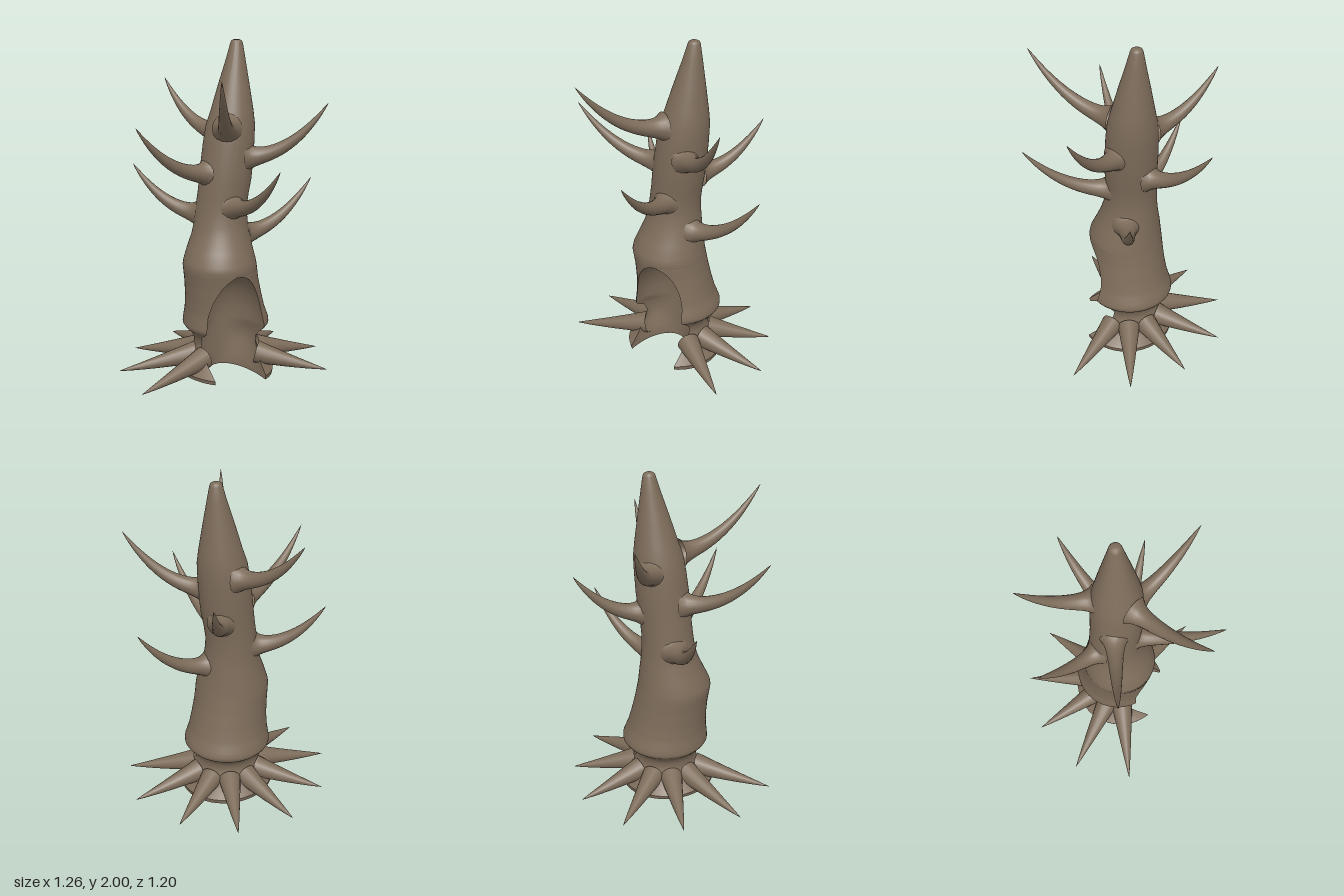
import * as THREE from 'three';
import { mergeVertices, toCreasedNormals } from 'three/addons/utils/BufferGeometryUtils.js';

const bark = new THREE.MeshStandardMaterial({ color: 0x7d6c5a, side: THREE.DoubleSide });

// Trunk sections: height, centre x, centre z, radius
const SECTIONS = [
  [0.02, -0.01, 0.01, 0.285], [0.045, -0.01, 0.01, 0.29], [0.09, -0.01, 0, 0.245],
  [0.14, -0.01, 0, 0.21], [0.19, -0.01, 0, 0.19], [0.23, -0.01, 0, 0.187],
  [0.27, -0.005, -0.005, 0.208], [0.31, 0, -0.01, 0.25], [0.325, 0, -0.01, 0.26],
  [0.345, 0, -0.01, 0.259], [0.42, -0.01, -0.005, 0.24], [0.5, -0.02, 0, 0.229],
  [0.6, -0.035, 0.005, 0.221], [0.7, -0.05, 0.013, 0.219], [0.73, -0.05, 0.012, 0.214],
  [0.8, -0.043, 0, 0.194], [0.88, -0.033, -0.01, 0.171], [0.95, -0.028, -0.016, 0.158],
  [1.03, -0.025, -0.02, 0.151], [1.12, -0.012, -0.018, 0.15], [1.2, 0, -0.016, 0.153],
  [1.3, 0.012, -0.018, 0.153], [1.42, 0.025, -0.02, 0.149], [1.52, 0.037, -0.022, 0.142],
  [1.6, 0.048, -0.024, 0.124], [1.75, 0.062, -0.03, 0.09], [1.9, 0.077, -0.036, 0.054],
  [1.98, 0.083, -0.039, 0.036], [1.993, 0.083, -0.039, 0.031], [2, 0.083, -0.039, 0.02],
  [2, 0.083, -0.039, 0],
];
const HOLLOW_TOP = 0.67, HOLLOW_MID = 0.3;

function sectionAt(y) {
  const i = Math.max(1, SECTIONS.findIndex(s => s[0] >= y));
  const a = SECTIONS[i - 1], b = SECTIONS[i], t = (y - a[0]) / (b[0] - a[0]);
  return a.map((v, k) => v + (b[k] - v) * t);
}

// Closed loop: round the back from one door edge to the other, then through the hollow
const OUTER = 56, INNER = 28, LOOP = OUTER + INNER;
function trunkLoop([y, cx, cz, r]) {
  const k = (y - HOLLOW_MID) / (HOLLOW_TOP - HOLLOW_MID);
  const open = k >= 1 ? 0 : k > 0 ? Math.sqrt(1 - k * k) : 1;
  const half = open * (0.177 - 0.06 * Math.max(0, HOLLOW_MID - y));
  const edge = side => open === 0 ? 0
    : Math.asin(THREE.MathUtils.clamp((-0.022 + side * half - cx) / r, -0.95, 0.95));
  const right = edge(1), left = edge(-1);
  const at = a => [cx + r * Math.sin(a), cz + r * Math.cos(a)];
  const [xl, zl] = at(left), [xr, zr] = at(right);
  const points = [];
  for (let j = 0; j < LOOP; j++) {
    let x, z;
    if (j < OUTER) {
      [x, z] = at(right + (2 * Math.PI + left - right) * j / OUTER);
    } else {
      const t = Math.PI * (j - OUTER) / INNER, u = (1 - Math.cos(t)) / 2;
      const rim = zl + (zr - zl) * u;
      x = xl + (xr - xl) * u;
      z = rim + (-0.06 - rim) * Math.sin(t) * open;
    }
    // The foot is tilted a little
    points.push([x, y - 0.07 * x * Math.max(0, 1 - y / 0.2), z]);
  }
  return points;
}

function trunkGeometry() {
  const rows = SECTIONS.slice();
  for (let i = 0; i <= 16; i++) {
    const y = HOLLOW_MID + (HOLLOW_TOP - HOLLOW_MID) * Math.sin(i / 16 * Math.PI / 2);
    if (!SECTIONS.some(s => Math.abs(s[0] - y) < 0.002)) rows.push(sectionAt(y));
  }
  rows.sort((a, b) => a[0] - b[0]);
  const loops = rows.map(trunkLoop);
  const index = [];
  for (let i = 0; i < rows.length - 1; i++) {
    const solid = rows[i][0] >= HOLLOW_TOP - 1e-6;
    for (let j = 0; j < (solid ? OUTER : LOOP); j++) {
      const a = i * LOOP + j, b = i * LOOP + (j + 1) % LOOP;
      index.push(a, b, b + LOOP, a, b + LOOP, a + LOOP);
    }
  }
  // Crescent-shaped underside
  const foot = loops[0].map(p => new THREE.Vector2(p[0], -p[2]));
  for (const [a, b, c] of THREE.ShapeUtils.triangulateShape(foot, [])) index.push(a, c, b);
  const geometry = new THREE.BufferGeometry();
  geometry.setAttribute('position', new THREE.Float32BufferAttribute(loops.flat(2), 3));
  geometry.setIndex(index);
  return toCreasedNormals(geometry, 0.7);
}

// Tapering, curved spike swept from start through bend to tip
function spike(start, bend, tip, radiusAt) {
  const path = new THREE.QuadraticBezierCurve3(start, bend, tip);
  const steps = 28, sides = 16;
  const geometry = new THREE.TubeGeometry(path, steps, 1, sides);
  const pos = geometry.attributes.position, v = new THREE.Vector3();
  for (let i = 0; i < pos.count; i++) {
    const t = Math.floor(i / (sides + 1)) / steps, centre = path.getPointAt(t);
    v.fromBufferAttribute(pos, i).sub(centre).multiplyScalar(radiusAt(t)).add(centre);
    pos.setXYZ(i, v.x, v.y, v.z);
  }
  geometry.deleteAttribute('uv');
  geometry.deleteAttribute('normal');
  const merged = mergeVertices(geometry, 1e-5);
  merged.computeVertexNormals();
  return merged;
}

// Branches: start on the trunk, then tip
const BRANCHES = [
  [-0.035, 1.515, 0.085, -0.285, 1.845, 0.545],
  [0.0, 1.46, -0.14, -0.17, 1.75, -0.52],
  [-0.12, 1.25, 0.0, -0.6, 1.565, 0.13],
  [0.1, 1.34, 0.07, 0.47, 1.665, 0.345],
  [-0.01, 1.06, 0.1, 0.03, 1.36, 0.6],
  [-0.13, 0.99, -0.1, -0.445, 1.27, -0.36],
  [0.09, 1.19, -0.11, 0.325, 1.465, -0.43],
  [0.11, 0.865, 0.015, 0.555, 1.17, 0.03],
];

// Root tips on the ground: x, z
const ROOTS = [
  [-0.11, -0.6], [0.24, -0.55], [0.5, -0.31], [-0.43, -0.44],
  [-0.64, -0.15], [-0.63, 0.21], [0.62, 0.03], [0.5, 0.365],
];

export function createModel() {
  const model = new THREE.Group();
  model.name = 'hollowTree';
  const add = (geometry, name, parent) => {
    const mesh = new THREE.Mesh(geometry, bark);
    mesh.name = name;
    parent.add(mesh);
  };
  add(trunkGeometry(), 'hollowTrunk', model);

  const branches = new THREE.Group();
  branches.name = 'branches';
  BRANCHES.forEach(([x, y, z, tx, ty, tz], i) => {
    const start = new THREE.Vector3(x, y, z), tip = new THREE.Vector3(tx, ty, tz);
    const bend = start.clone().lerp(tip, 0.55).setY(y + 0.01);
    const radius = t => 0.052 * Math.pow(1 - t, 0.8) + 0.035 * Math.exp(-14 * t) * (1 - t);
    add(spike(start, bend, tip, radius), `branch${i + 1}`, branches);
  });

  const roots = new THREE.Group();
  roots.name = 'roots';
  ROOTS.forEach(([tx, tz], i) => {
    const tip = new THREE.Vector3(tx, 0.052, tz);
    const start = new THREE.Vector3(tx, 0, tz).setLength(0.185).setY(0.135);
    const bend = start.clone().lerp(tip, 0.5).setY(0.085);
    const radius = t => 0.068 * Math.pow(1 - t, 0.9);
    add(spike(start, bend, tip, radius), `root${i + 1}`, roots);
  });

  model.add(branches, roots);
  return model;
}
